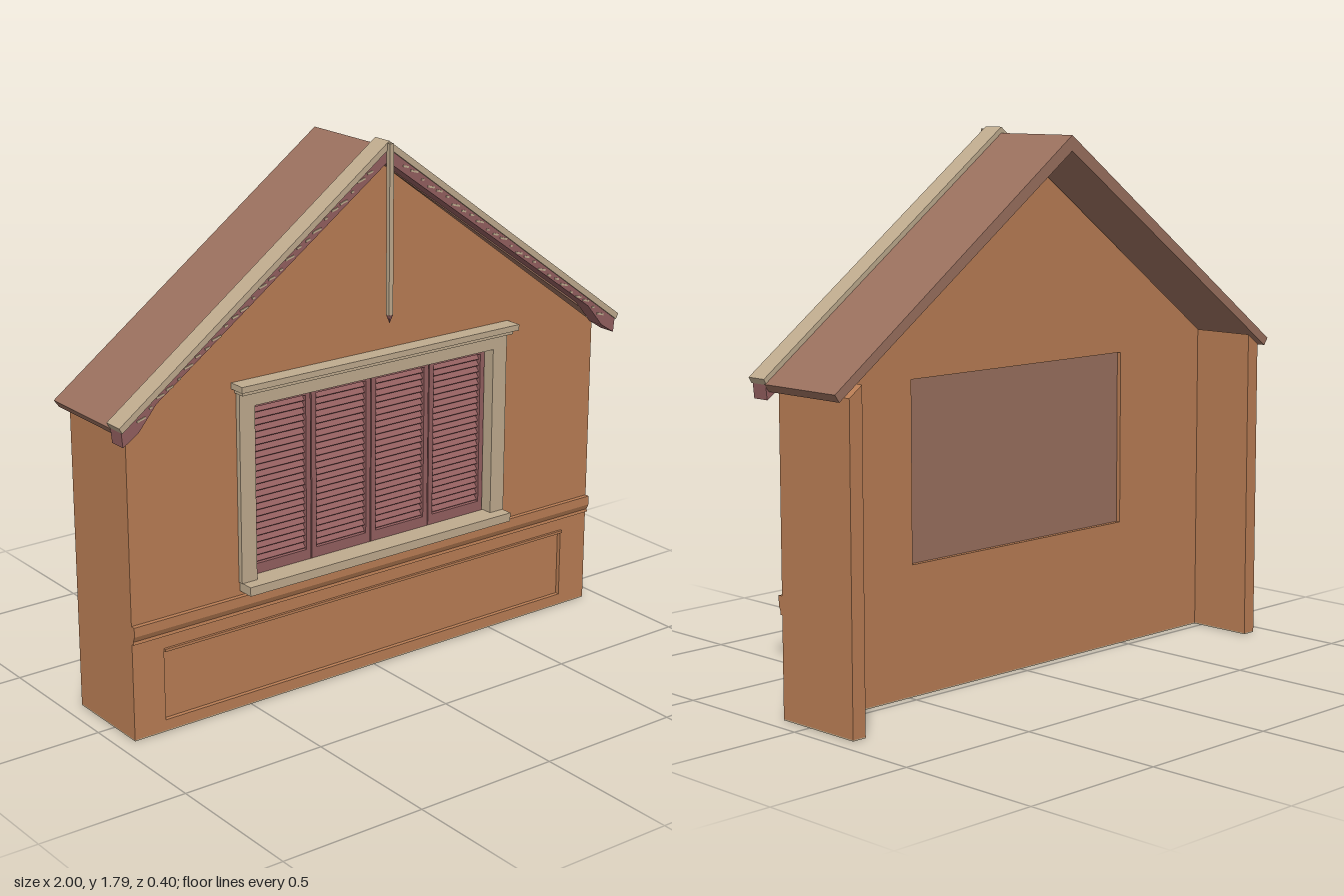
import * as THREE from 'three';

const mat = (name, color) => {
  const m = new THREE.MeshStandardMaterial({ color });
  m.name = name;
  return m;
};

export function createModel() {
  const root = new THREE.Group();
  root.name = 'gableFacade';
  const wallM = mat('terracotta wall', 0xb97d54);
  const trimM = mat('beige trim', 0xbfab8e);
  const mauveM = mat('mauve shutter', 0x935f5f);
  const roofM = mat('brown roof', 0x9a705e);

  const add = (name, geo, m, parent = root) => {
    const mesh = new THREE.Mesh(geo, m);
    mesh.name = name;
    parent.add(mesh);
    return mesh;
  };
  // box given by its min and max on each axis
  const box = (name, m, x0, x1, y0, y1, z0, z1, parent) => {
    const mesh = add(name, new THREE.BoxGeometry(x1 - x0, y1 - y0, z1 - z0), m, parent);
    mesh.position.set((x0 + x1) / 2, (y0 + y1) / 2, (z0 + z1) / 2);
    return mesh;
  };
  const shape = (pts) => new THREE.Shape(pts.map(([x, y]) => new THREE.Vector2(x, y)));
  const prism = (name, m, s, z0, z1) => {
    const geo = new THREE.ExtrudeGeometry(s, { depth: z1 - z0, bevelEnabled: false });
    geo.translate(0, 0, z0);
    return add(name, geo, m);
  };
  const rectHole = (x, y0, y1) =>
    new THREE.Path([[-x, y0], [x, y0], [x, y1], [-x, y1]].map(([a, b]) => new THREE.Vector2(a, b)));
  // symmetric outline from the points of its +x half
  const mirrored = (top, bottom) => shape([
    ...top, ...bottom.slice().reverse(),
    ...bottom.slice(1).map(([x, y]) => [-x, y]),
    ...top.slice(1).reverse().map(([x, y]) => [-x, y]),
  ]);

  // front wall with window opening and sunken lower panel
  const wall = shape([[-0.94, 0.004], [0.94, 0.004], [0.94, 1.03], [0, 1.722], [-0.94, 1.03]]);
  wall.holes.push(rectHole(0.485, 0.43, 1.02), rectHole(0.825, 0.04, 0.283));
  prism('frontWall', wallM, wall, 0.03, 0.122);
  box('lowerPanel', wallM, -0.825, 0.825, 0.04, 0.283, 0.03, 0.107);
  box('lowerPanelLip', wallM, -0.825, 0.825, 0.276, 0.285, 0.105, 0.131);

  // side returns and the footing under the walls
  for (const s of [-1, 1]) {
    const pts = [[0.89, 0.004], [0.94, 0.004], [0.94, 1.03], [0.89, 1.066]];
    prism('sideReturn', wallM, shape(pts.map(([x, y]) => [x * s, y])), -0.2, 0.03);
    const a = 0.89 * s, b = 0.94 * s;
    box('returnFooting', trimM, Math.min(a, b), Math.max(a, b), 0, 0.004, -0.2, 0.03);
  }
  box('frontFooting', trimM, -0.94, 0.94, 0, 0.004, 0.03, 0.122);

  // belt moulding: profile in (z, y) swept along x
  const belt = new THREE.ExtrudeGeometry(
    shape([[0.12, 0.33], [0.132, 0.33], [0.13, 0.34], [0.138, 0.358], [0.138, 0.39], [0.12, 0.39]]),
    { depth: 1.88, bevelEnabled: false });
  belt.rotateY(-Math.PI / 2);
  // the turn maps (z, y, sweep) to (-sweep, y, z)
  belt.translate(0.94, 0, 0);
  add('beltMoulding', belt, wallM);

  // roof, barge boards and their cap
  prism('roof', roofM, mirrored([[0, 1.772], [0.995, 1.046]], [[0, 1.722], [0.978, 1.022]]), -0.2, 0.122);
  prism('bargeBoard', mauveM, mirrored(
    [[0, 1.772], [0.99, 1.046]],
    [[0, 1.725], [0.865, 1.11], [0.93, 1.032], [0.985, 0.997]]), 0.122, 0.183);
  prism('bargeCap', trimM, mirrored([[0, 1.792], [1, 1.062]], [[0, 1.768], [0.99, 1.044]]), 0.118, 0.19);

  // small raised chips along the barge boards
  const slope = Math.atan(0.733);
  for (const s of [-1, 1]) {
    for (let i = 0; i < 26; i++) {
      const x = 0.07 + i * 0.034;
      const len = 0.022 + 0.012 * Math.sin(i * 2.3);
      const chip = add('bargeChip', new THREE.BoxGeometry(len, 0.006, 0.004), trimM);
      chip.position.set(s * x, 1.752 - 0.733 * x + 0.005 * Math.sin(i * 1.7), 0.184);
      chip.rotation.z = -s * (slope - 0.35);
    }
  }

  // pendant post hanging from the gable peak
  box('pendantPost', trimM, -0.008, 0.008, 1.235, 1.785, 0.187, 0.203);
  const tip = add('pendantTip', new THREE.ConeGeometry(0.011, 0.028, 4), mauveM);
  tip.rotation.set(Math.PI, Math.PI / 4, 0);
  tip.position.set(0, 1.221, 0.195);

  // window surround
  for (const s of [-1, 1]) {
    const a = 0.482 * s, b = 0.54 * s;
    box('windowJamb', trimM, Math.min(a, b), Math.max(a, b), 0.435, 1.02, 0.08, 0.14);
  }
  box('windowHeader', trimM, -0.54, 0.54, 1.017, 1.065, 0.08, 0.142);
  box('corniceLower', trimM, -0.545, 0.545, 1.065, 1.08, 0.12, 0.165);
  box('corniceUpper', trimM, -0.557, 0.557, 1.08, 1.1, 0.12, 0.182);
  box('windowSill', trimM, -0.537, 0.537, 0.405, 0.435, 0.1, 0.182);
  box('windowBack', roofM, -0.485, 0.485, 0.43, 1.02, 0.045, 0.06);

  // four louvred shutters
  for (let p = 0; p < 4; p++) {
    const g = new THREE.Group();
    g.name = 'shutter';
    g.position.x = -0.36 + p * 0.24;
    root.add(g);
    box('leftStile', mauveM, -0.118, -0.1, 0.435, 1.017, 0.06, 0.1, g);
    box('rightStile', mauveM, 0.1, 0.118, 0.435, 1.017, 0.06, 0.1, g);
    box('bottomRail', mauveM, -0.1, 0.1, 0.435, 0.47, 0.06, 0.1, g);
    box('topRail', mauveM, -0.1, 0.1, 0.995, 1.017, 0.06, 0.1, g);
    for (let i = 0; i < 24; i++) {
      const slat = add('slat', new THREE.BoxGeometry(0.2, 0.024, 0.005), mauveM, g);
      slat.position.set(0, 0.482 + i * 0.0218, 0.083);
      slat.rotation.x = -0.75;
    }
  }
  return root;
}
